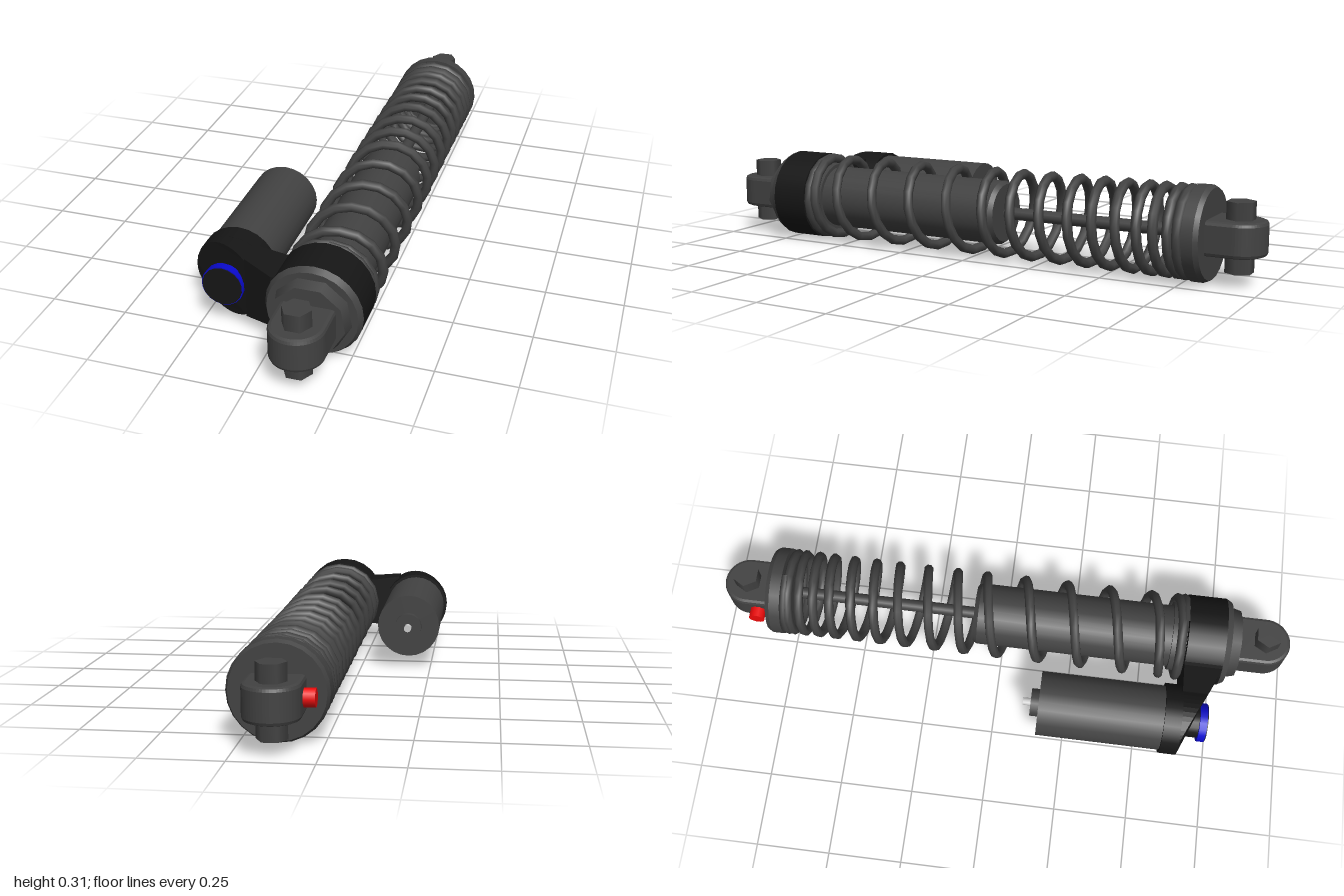
import * as THREE from 'three';

const AX = 0.135, AY = 0.155, RX = -0.17; // damper axis, reservoir axis
const mat = (color) => new THREE.MeshStandardMaterial({ color });

export function createModel() {
  const root = new THREE.Group();
  const grey = mat(0x424242), black = mat(0x161616), blue = mat(0x0a0acc);
  const red = mat(0xee0a0a), light = mat(0xcccccc);

  const add = (name, geo, material, parent = root) => {
    const m = new THREE.Mesh(geo, material);
    m.name = name;
    parent.add(m);
    return m;
  };
  // cylinder along z between z0 and z1, with radius r0 at z0 and r1 at z1
  const rod = (name, x, z0, z1, r0, material, r1 = r0, sides = 24) => {
    const g = new THREE.CylinderGeometry(r1, r0, z1 - z0, sides);
    g.rotateX(Math.PI / 2);
    g.translate(x, AY, (z0 + z1) / 2);
    return add(name, g, material);
  };

  // damper body and shaft
  rod('damperBody', AX, -0.09, 0.66, 0.108, grey);
  rod('bodyLip', AX, -0.105, -0.09, 0.098, grey, 0.108);
  rod('springSeat', AX, 0.585, 0.645, 0.12, grey);
  rod('shaft', AX, -0.8, -0.09, 0.021, grey, 0.021, 12);

  // head collar and end cap
  rod('collar', AX, 0.635, 0.765, 0.153, black);
  rod('collarCap', AX, 0.765, 0.785, 0.153, grey, 0.142);
  rod('endNut', AX, 0.785, 0.822, 0.125, grey, 0.115, 9);

  // lower spring plate
  rod('springPlate', AX, -0.815, -0.778, 0.153, grey);
  rod('springPlateRim', AX, -0.83, -0.815, 0.145, grey, 0.153);
  rod('springPlateHub', AX, -0.78, -0.755, 0.12, grey, 0.11);

  // progressive spring: z of each successive coil crest
  const crests = [0.625, 0.615, 0.535, 0.385, 0.235, 0.085, -0.06, -0.165, -0.27,
    -0.375, -0.46, -0.54, -0.615, -0.67, -0.72, -0.757, -0.765];
  const points = [];
  const turns = crests.length - 1, per = 16;
  for (let i = 0; i <= turns * per; i++) {
    const k = Math.min(Math.floor(i / per), turns - 1);
    const z = THREE.MathUtils.lerp(crests[k], crests[k + 1], i / per - k);
    const a = (i / per) * Math.PI * 2;
    points.push(new THREE.Vector3(AX + 0.137 * Math.sin(a), AY + 0.137 * Math.cos(a), z));
  }
  add('spring', new THREE.TubeGeometry(new THREE.CatmullRomCurve3(points), turns * per, 0.0165, 8), grey);

  // mounting eyes with hexagonal pivot bolts, one at each end
  for (const s of [1, -1]) {
    const mount = new THREE.Group();
    mount.name = s > 0 ? 'frontMount' : 'rearMount';
    mount.position.set(AX, AY, s * 0.915);
    root.add(mount);
    const b = 0.012, r = 0.085 - b;
    const shape = new THREE.Shape();
    shape.moveTo(r, 0);
    shape.absarc(0, 0, r, 0, Math.PI, false);
    shape.lineTo(-r, -0.1);
    shape.lineTo(r, -0.1);
    const geo = new THREE.ExtrudeGeometry(shape, {
      depth: 0.11 - 2 * b, bevelThickness: b, bevelSize: b, bevelSegments: 2, curveSegments: 14,
    });
    geo.translate(0, 0, b - 0.055);
    geo.rotateX(s * Math.PI / 2);
    add('eye', geo, grey, mount);
    const bolt = new THREE.CylinderGeometry(0.046, 0.046, 0.222, 6);
    bolt.rotateY(Math.PI / 6);
    add('pivotBolt', bolt, grey, mount);
  }

  // rebound adjuster knob
  const knob = add('reboundKnob', new THREE.CylinderGeometry(0.028, 0.028, 0.05, 10), red);
  knob.rotation.z = Math.PI / 2;
  knob.position.set(0.04, AY, -0.875);

  // reservoir with valve
  rod('reservoir', RX, 0.155, 0.59, 0.111, grey);
  rod('reservoirCap', RX, 0.58, 0.638, 0.121, black);
  rod('valveBase', RX, 0.127, 0.157, 0.048, grey, 0.048, 16);
  rod('valveStem', RX, 0.1, 0.13, 0.013, light, 0.013, 10);

  // compression adjuster
  rod('adjusterNeck', RX, 0.635, 0.708, 0.055, black, 0.055, 18);
  rod('adjusterRing', RX, 0.705, 0.73, 0.067, blue, 0.067, 18);
  rod('adjusterFace', RX, 0.72, 0.733, 0.064, black, 0.064, 18);

  // bridge arm: outline hugs the reservoir cap, front face slopes out to the collar
  const arm = new THREE.Shape();
  arm.moveTo(AX, AY - 0.085);
  arm.lineTo(AX, AY + 0.085);
  arm.lineTo(0, AY + 0.089);
  arm.lineTo(-0.1, AY + 0.104);
  const a0 = Math.atan2(0.098, 0.07);
  arm.absarc(RX, AY, 0.12, a0, Math.PI * 2 - a0, false);
  arm.lineTo(-0.1, AY - 0.104);
  arm.lineTo(0, AY - 0.089);
  const armGeo = new THREE.ExtrudeGeometry(arm, { depth: 1, bevelEnabled: false, curveSegments: 16 });
  const p = armGeo.attributes.position;
  for (let i = 0; i < p.count; i++) {
    const t = THREE.MathUtils.clamp((p.getX(i) + 0.27) / 0.27, 0, 1);
    p.setZ(i, p.getZ(i) > 0.5 ? 0.64 + 0.124 * t : 0.634);
  }
  armGeo.computeVertexNormals();
  add('bridgeArm', armGeo, black);

  return root;
}
